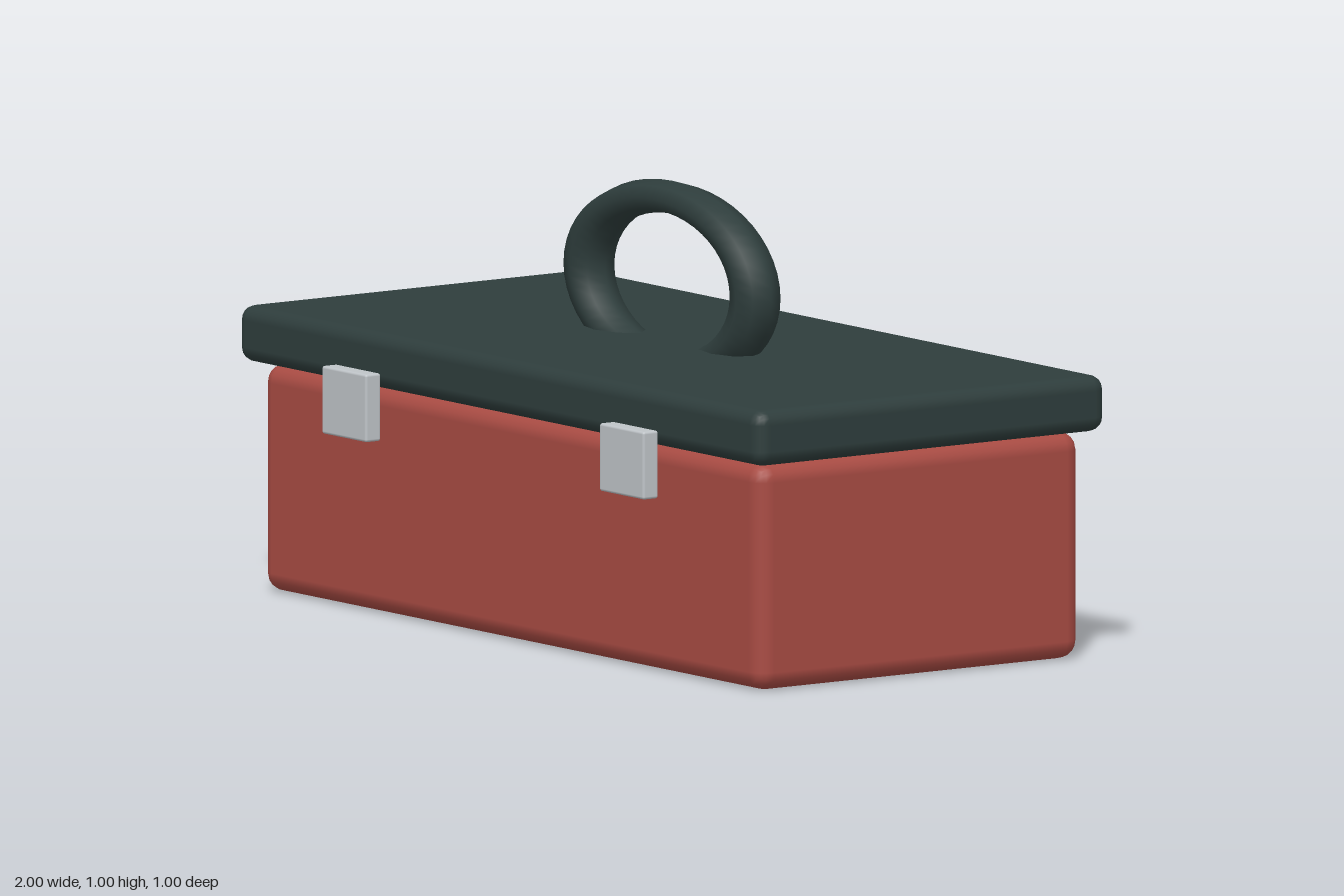
import * as THREE from 'three';
import { RoundedBoxGeometry } from 'three/addons/geometries/RoundedBoxGeometry.js';

export function createModel() {
  const model = new THREE.Group();
  model.name = 'toolbox';

  const paint = (name, color) => {
    const m = new THREE.MeshStandardMaterial({ color });
    m.name = name;
    return m;
  };
  const red = paint('red', 0xa84b43);
  const darkGreen = paint('dark green', 0x2e3d3c);
  const silver = paint('silver', 0xbfc4c8);

  const add = (name, geometry, material, x, y, z) => {
    const mesh = new THREE.Mesh(geometry, material);
    mesh.name = name;
    mesh.position.set(x, y, z);
    model.add(mesh);
    return mesh;
  };

  // Box and overhanging lid
  add('body', new RoundedBoxGeometry(1.91, 0.512, 0.888, 2, 0.042), red, 0, 0.256, -0.019);
  add('lid', new RoundedBoxGeometry(2, 0.128, 0.96, 2, 0.034), darkGreen, 0, 0.578, -0.02);

  // Oval carrying ring, its lower part sunk into the lid
  const handle = add('handle', new THREE.TorusGeometry(0.318, 0.063, 8, 48), darkGreen, 0, 0.775, -0.02);
  handle.scale.set(1, 0.591, 0.85);

  // Pair of latches on the front edge
  for (const [side, name] of [[1, 'leftLatch'], [-1, 'rightLatch']]) {
    add(name, new RoundedBoxGeometry(0.17, 0.153, 0.042, 2, 0.006), silver, side * 0.531, 0.477, 0.479);
  }

  return model;
}
